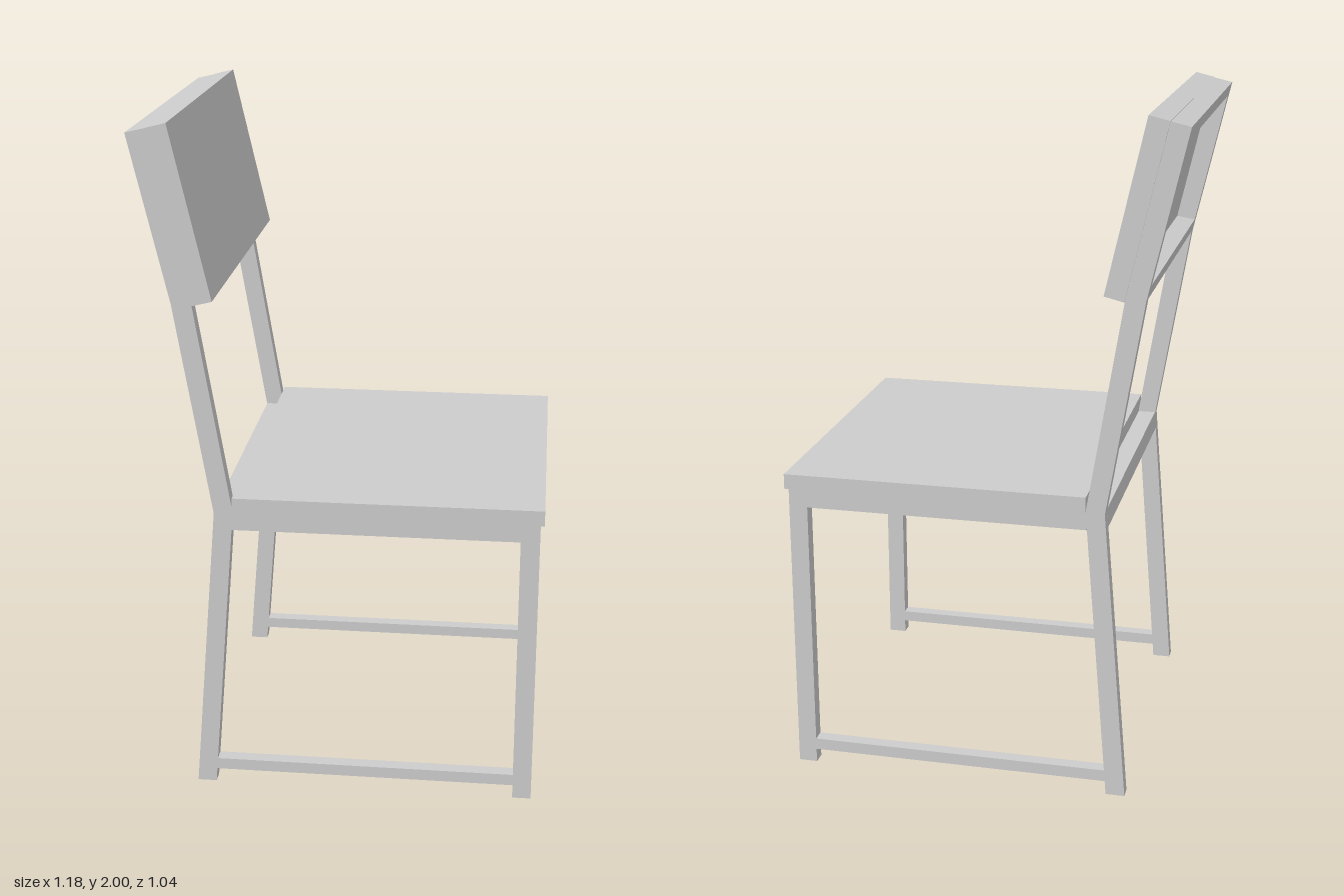
import * as THREE from 'three';

const material = new THREE.MeshStandardMaterial({ color: 0xcccccc, flatShading: true });
const HALF = 0.504; // half width of the frame
const BAR = 0.04;   // width of the bars across the chair

// Side profile (x, y) extruded across the chair from z0 to z1
function slab(name, points, z0, z1) {
  const shape = new THREE.Shape(points.map(([x, y]) => new THREE.Vector2(x, y)));
  const geometry = new THREE.ExtrudeGeometry(shape, { depth: z1 - z0, bevelEnabled: false });
  geometry.translate(0, 0, z0);
  const mesh = new THREE.Mesh(geometry, material);
  mesh.name = name;
  return mesh;
}

const rect = (x0, x1, y0, y1) => [[x0, y0], [x1, y0], [x1, y1], [x0, y1]];

export function createModel() {
  const chair = new THREE.Group();
  chair.name = 'chair';

  // Rear leg and back post in one bent bar
  const post = [
    [-0.441, 0], [-0.385, 0], [-0.314, 0.885], [-0.416, 1.51],
    [-0.525, 1.985], [-0.581, 1.972], [-0.472, 1.5], [-0.369, 0.88],
  ];

  // Two mirrored side frames
  for (const [side, z0] of [['left', -HALF], ['right', HALF - BAR]]) {
    const frame = new THREE.Group();
    frame.name = side + 'SideFrame';
    const z1 = z0 + BAR;
    frame.add(
      slab('rearLegAndBackPost', post, z0, z1),
      slab('frontLeg', rect(0.512, 0.567, 0, 0.885), z0, z1),
      slab('seatRail', rect(-0.318, 0.512, 0.83, 0.885), z0, z1),
      slab('footRail', [[-0.382, 0.042], [0.512, 0.042], [0.512, 0.077], [-0.379, 0.077]], z0, z1),
    );
    chair.add(frame);
  }

  // Bars joining the two sides
  const inner = HALF - BAR;
  const cross = (name, points) => chair.add(slab(name, points, -inner, inner));
  cross('frontSeatRail', rect(0.512, 0.567, 0.83, 0.885));
  cross('rearSeatRail', [[-0.373, 0.83], [-0.318, 0.83], [-0.314, 0.885], [-0.369, 0.885]]);
  cross('lowerBackRail', [[-0.472, 1.5], [-0.416, 1.51], [-0.425, 1.549], [-0.481, 1.539]]);
  cross('upperBackRail', [[-0.572, 1.933], [-0.516, 1.946], [-0.525, 1.985], [-0.581, 1.972]]);

  // Seat and backrest panels
  chair.add(
    slab('seat', rect(-0.315, 0.578, 0.885, 0.93), -0.51, 0.51),
    slab('backrest', [[-0.413, 1.496], [-0.356, 1.51], [-0.467, 2], [-0.525, 1.986]], -0.507, 0.507),
  );

  // The chair stands slightly turned
  chair.rotation.y = -0.0175;
  const model = new THREE.Group();
  model.add(chair);
  return model;
}
